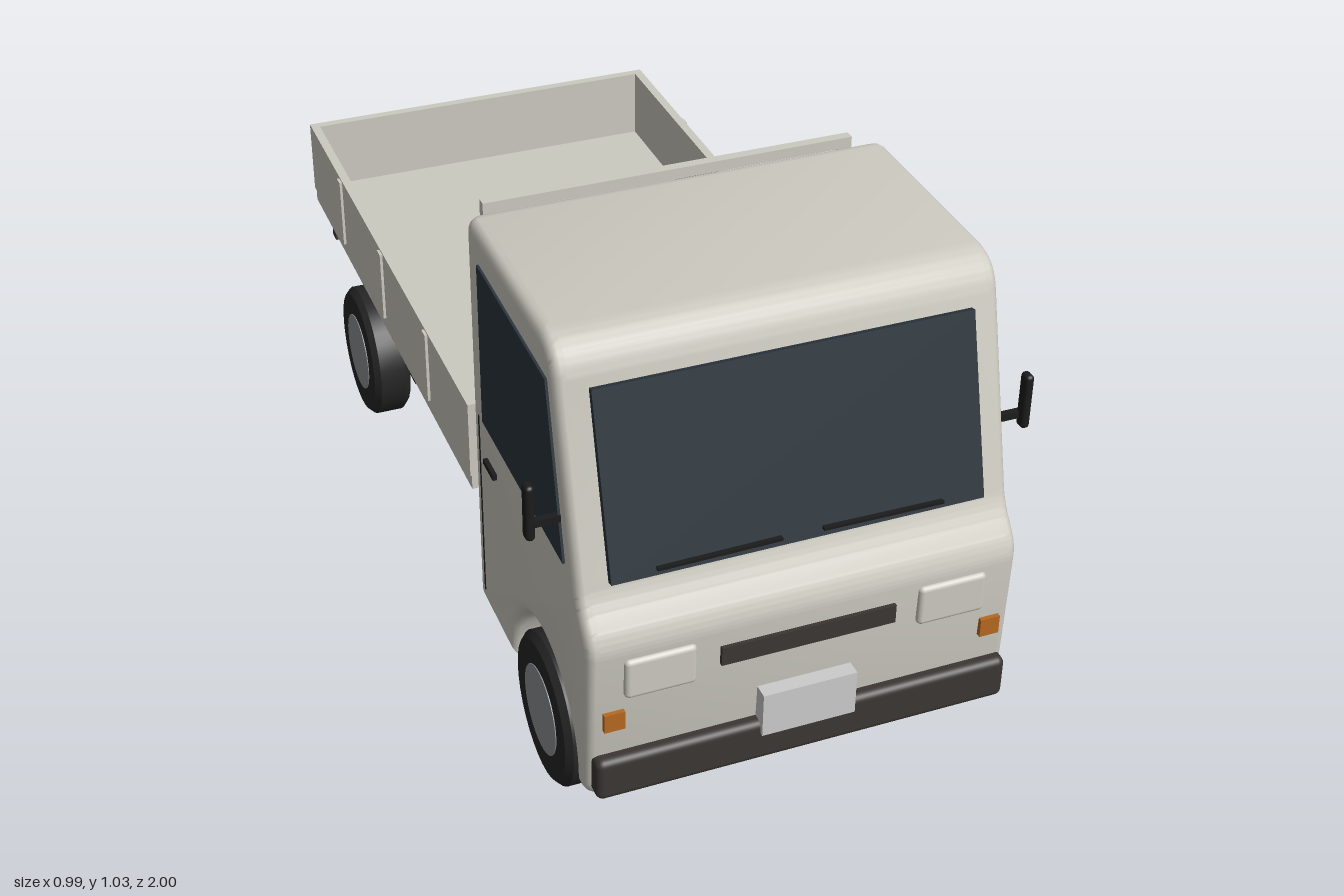
import * as THREE from 'three';
import { toCreasedNormals } from 'three/addons/utils/BufferGeometryUtils.js';
import { RoundedBoxGeometry } from 'three/addons/geometries/RoundedBoxGeometry.js';

const mat = (color) => new THREE.MeshStandardMaterial({ color });
const paint = mat(0xcccac0), trim = mat(0x3b3633), rubber = mat(0x262626), black = mat(0x1c1c1c);
const glass = mat(0x2b353d), hubGrey = mat(0x8c9092), plateGrey = mat(0xcccccc);
const amber = mat(0xb8691f), red = mat(0x8c2420);

export function createModel() {
  const root = new THREE.Group();

  const add = (name, geometry, material) => {
    const mesh = new THREE.Mesh(geometry, material);
    mesh.name = name;
    root.add(mesh);
    return mesh;
  };
  // Box given by its limits on each axis; a radius rounds its edges
  const box = (name, [x0, x1], [y0, y1], [z0, z1], material, radius = 0) => {
    const size = [x1 - x0, y1 - y0, z1 - z0];
    const geometry = radius ? new RoundedBoxGeometry(...size, 3, radius) : new THREE.BoxGeometry(...size);
    const mesh = add(name, geometry, material);
    mesh.position.set((x0 + x1) / 2, (y0 + y1) / 2, (z0 + z1) / 2);
    return mesh;
  };
  // Same box on both sides of the model
  const pair = (name, [x0, x1], y, z, material, radius) => {
    box(name + 'Left', [x0, x1], y, z, material, radius);
    box(name + 'Right', [-x1, -x0], y, z, material, radius);
  };
  // Side profile drawn in (z, y), extruded along x and centred on xMid
  const extrudeSide = (shape, width, xMid, bevel = 0) => {
    const g = new THREE.ExtrudeGeometry(shape, {
      depth: width - 2 * bevel, curveSegments: 16, bevelEnabled: bevel > 0,
      bevelThickness: bevel, bevelSize: bevel, bevelOffset: -bevel, bevelSegments: 4,
    });
    g.rotateY(-Math.PI / 2);
    g.translate(xMid + width / 2 - bevel, 0, 0);
    return toCreasedNormals(g, 0.6);
  };

  // Cab body with the wheel arch cut through and rounded corners [z, y, radius]
  const cab = new THREE.Shape();
  cab.moveTo(0.315, 0.16);
  cab.quadraticCurveTo(0.315, 0.13, 0.345, 0.13);
  cab.lineTo(0.537, 0.13);
  cab.lineTo(0.537, 0.155);
  cab.absarc(0.717, 0.155, 0.18, Math.PI, 0, true);
  cab.lineTo(0.9, 0.13);
  const corners = [[0.962, 0.13, 0.04], [0.978, 0.5, 0.035], [0.924, 0.565, 0.03], [0.8, 1.03, 0.07], [0.315, 1.03, 0.04]];
  corners.forEach(([z, y, r], i) => {
    const p = new THREE.Vector2(z, y);
    const from = i ? new THREE.Vector2(corners[i - 1][0], corners[i - 1][1]) : new THREE.Vector2(0.9, 0.13);
    const next = corners[i + 1] ?? [0.315, 0.13];
    const to = new THREE.Vector2(next[0], next[1]);
    const a = p.clone().add(from.sub(p).setLength(r));
    const b = p.clone().add(to.sub(p).setLength(r));
    cab.lineTo(a.x, a.y);
    cab.quadraticCurveTo(z, y, b.x, b.y);
  });
  cab.closePath();
  add('cab', extrudeSide(cab, 0.85, 0, 0.025), paint);

  // Windows
  const windscreen = add('windscreen', new THREE.BoxGeometry(0.73, 0.364, 0.018), glass);
  windscreen.position.set(0, 0.77, 0.875);
  windscreen.rotation.x = -0.268;
  const windowShape = new THREE.Shape([[0.395, 0.61], [0.86, 0.61], [0.78, 0.95], [0.395, 0.96]]
    .map(([z, y]) => new THREE.Vector2(z, y)));
  for (const s of [1, -1]) add('sideWindow', extrudeSide(windowShape, 0.012, s * 0.424), glass);
  box('rearWindow', [-0.285, 0.285], [0.685, 0.92], [0.305, 0.32], glass);

  // Wipers
  for (const s of [1, -1]) {
    const wiper = box('wiper', [-0.12, 0.12], [0.609, 0.615], [0.922, 0.936], black);
    wiper.position.x = s * 0.16;
    wiper.rotation.z = -s * 0.01;
  }

  // Doors and mirrors
  pair('doorSeam', [0.42, 0.4265], [0.17, 0.6], [0.356, 0.361], black);
  pair('doorHandle', [0.42, 0.434], [0.518, 0.53], [0.405, 0.465], black);
  pair('mirrorArm', [0.41, 0.48], [0.688, 0.702], [0.828, 0.842], black);
  pair('mirror', [0.476, 0.494], [0.67, 0.787], [0.83, 0.857], black, 0.008);

  // Nose
  box('bumper', [-0.415, 0.415], [0.15, 0.242], [0.94, 0.992], trim, 0.015);
  box('frontPlate', [-0.095, 0.093], [0.218, 0.314], [0.965, 1], plateGrey);
  box('grille', [-0.173, 0.173], [0.397, 0.437], [0.96, 0.983], trim);
  pair('headlamp', [0.22, 0.358], [0.373, 0.46], [0.955, 0.985], paint, 0.01);
  pair('indicator', [0.357, 0.397], [0.304, 0.344], [0.955, 0.98], amber);

  // Chassis and wheel housings
  box('chassis', [-0.26, 0.26], [0.215, 0.305], [-0.96, 0.33], trim);
  box('frontHousing', [-0.34, 0.34], [0.15, 0.31], [0.56, 0.88], black);
  box('rearHousing', [-0.34, 0.34], [0.14, 0.308], [-0.775, -0.45], black);

  // Wheels
  const tyreProfile = [[0.085, -0.043], [0.14, -0.043], [0.153, -0.03], [0.153, 0.03], [0.14, 0.043], [0.085, 0.043]]
    .map(([r, h]) => new THREE.Vector2(r, h));
  const tyreGeometry = toCreasedNormals(new THREE.LatheGeometry(tyreProfile, 32).rotateZ(-Math.PI / 2), 0.6);
  const hubGeometry = new THREE.CylinderGeometry(0.09, 0.09, 0.09, 32).rotateZ(Math.PI / 2);
  for (const z of [0.72, -0.613]) {
    for (const s of [1, -1]) {
      add('tyre', tyreGeometry, rubber).position.set(s * 0.388, 0.153, z);
      add('hub', hubGeometry, hubGrey).position.set(s * 0.388, 0.153, z);
    }
  }

  // Load bed: floor, side boards with ribs, headboard and tailgate
  box('bedFloor', [-0.422, 0.422], [0.367, 0.41], [-0.988, 0.28], paint);
  pair('sideBoard', [0.405, 0.425], [0.4, 0.572], [-0.99, 0.28], paint);
  box('headboard', [-0.405, 0.405], [0.4, 0.572], [0.26, 0.28], paint);
  box('tailgate', [-0.405, 0.405], [0.4, 0.572], [-0.99, -0.97], paint);
  for (const z of [-0.01, -0.355, -0.7]) pair('sideRib', [0.42, 0.431], [0.405, 0.568], [z - 0.012, z + 0.012], paint);
  pair('tailgateLatch', [0.25, 0.28], [0.52, 0.565], [-0.998, -0.985], black);

  // Frame behind the cab
  pair('framePost', [0.355, 0.38], [0.4, 1.02], [0.264, 0.284], paint);
  box('frameTopBar', [-0.38, 0.38], [0.997, 1.02], [0.264, 0.284], paint);

  // Rear lamp bar
  box('rearBar', [-0.39, 0.39], [0.262, 0.316], [-0.985, -0.955], trim);
  pair('tailLamp', [0.295, 0.38], [0.268, 0.31], [-0.996, -0.98], red);
  box('rearPlate', [-0.095, 0.095], [0.245, 0.335], [-1, -0.98], plateGrey);

  return root;
}
